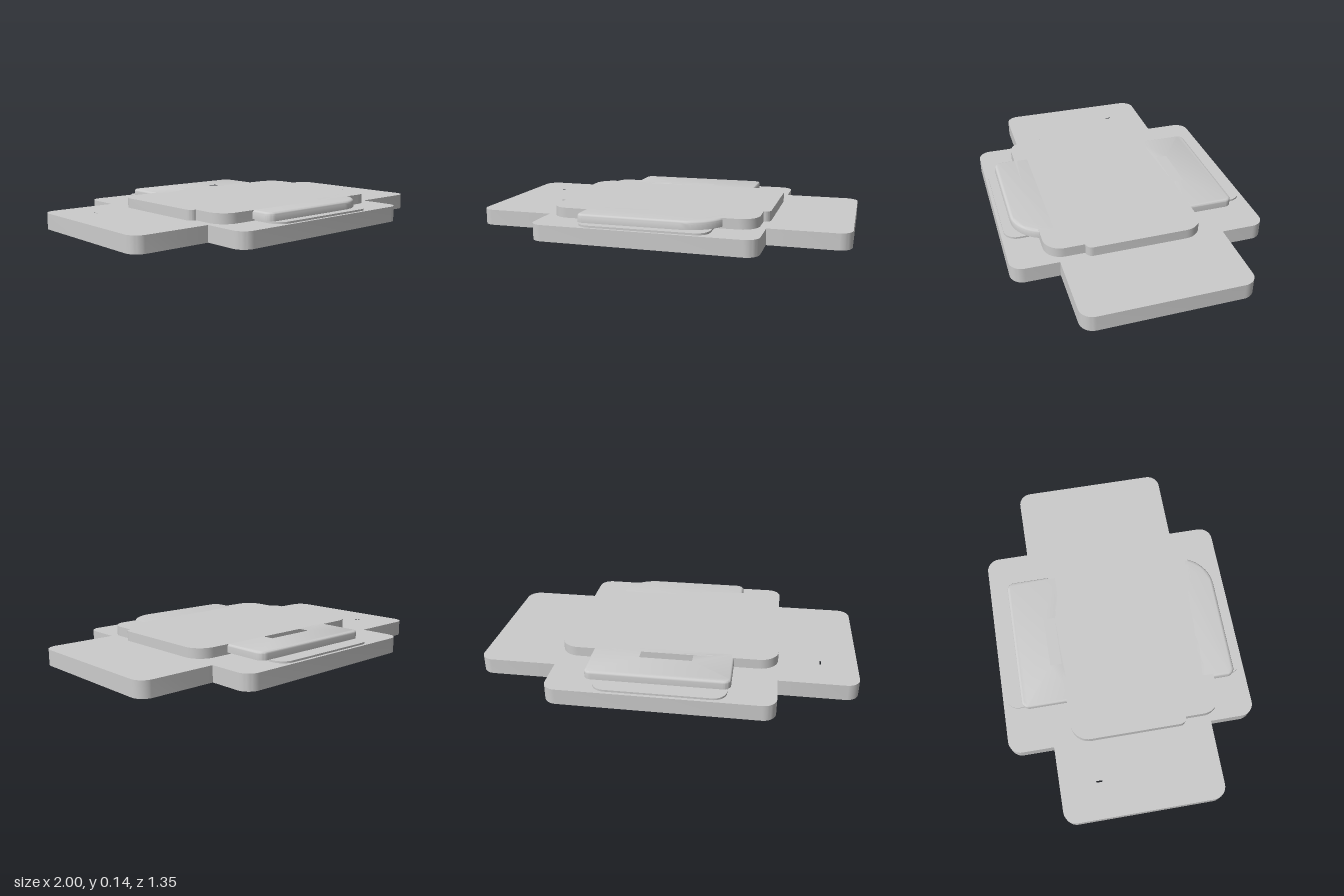
import * as THREE from 'three';
import { toCreasedNormals } from 'three/addons/utils/BufferGeometryUtils.js';

const material = new THREE.MeshStandardMaterial({ color: 0xcccccc });

// Closed outline from [x, z, cornerRadius] points; corners become circular arcs
function outline(points, Type = THREE.Shape) {
  const path = new Type();
  const n = points.length;
  const k = 0.5523;
  points.forEach(([x, z, r = 0], i) => {
    const corner = new THREE.Vector2(x, -z);
    const toward = ([px, pz]) => new THREE.Vector2(px, -pz).sub(corner).normalize();
    const before = toward(points[(i + n - 1) % n]);
    const after = toward(points[(i + 1) % n]);
    const at = (dir, d) => corner.clone().addScaledVector(dir, d);
    const start = at(before, r);
    if (i === 0) path.moveTo(start.x, start.y);
    else path.lineTo(start.x, start.y);
    if (r > 0) {
      const c1 = at(before, r * (1 - k)), c2 = at(after, r * (1 - k)), end = at(after, r);
      path.bezierCurveTo(c1.x, c1.y, c2.x, c2.y, end.x, end.y);
    }
  });
  path.closePath();
  return path;
}

// Horizontal plate between two heights, optionally with a rounded top edge
function plate(name, shape, bottom, top, round = 0) {
  const geometry = new THREE.ExtrudeGeometry(shape, {
    depth: top - bottom - round,
    curveSegments: 12,
    bevelEnabled: round > 0,
    bevelThickness: round,
    bevelSize: round,
    bevelOffset: -round,
    bevelSegments: 4,
  });
  // Keep the underside flat: only the top edge stays rounded
  const pos = geometry.attributes.position;
  for (let i = 0; i < pos.count; i++) pos.setZ(i, Math.max(0, pos.getZ(i)));
  geometry.rotateX(-Math.PI / 2);
  geometry.translate(0, bottom, 0);
  const mesh = new THREE.Mesh(toCreasedNormals(geometry, 0.6), material);
  mesh.name = name;
  return mesh;
}

const rect = (x0, x1, z0, z1, r) => [[x0, z0, r], [x1, z0, r], [x1, z1, r], [x0, z1, r]];

// Complete a right-hand half outline by mirroring it across x = 0
const mirrored = (half) => [...half, ...half.map(([x, z, r]) => [-x, z, r]).reverse()];

export function createModel() {
  const model = new THREE.Group();
  model.name = 'steppedPlate';
  const baseTop = 0.085, padTop = 0.095, top = 0.138;

  // Cross-shaped base with a tiny slit through one wing
  const base = outline(mirrored([
    [0.585, -0.677, 0.07], [0.585, -0.435], [1, -0.435, 0.07],
    [1, 0.432, 0.07], [0.585, 0.432], [0.585, 0.677, 0.07],
  ]));
  base.holes.push(outline(rect(-0.81, -0.802, -0.24, -0.205, 0.0039), THREE.Path));
  model.add(plate('base', base, 0, baseTop));

  // Thin pad below the tabs
  model.add(plate('pad', outline(rect(-0.34, 0.34, -0.66, 0.66, 0.07)), baseTop, padTop));

  // Main raised plate, stepped in towards the front
  const body = outline(mirrored([
    [0.585, -0.33, 0.1], [0.585, 0.295, 0.035], [0.55, 0.295], [0.55, 0.492, 0.095],
  ]));
  model.add(plate('raisedPlate', body, baseTop, top));

  // Back tab with the slot
  const backTab = outline([
    [-0.355, -0.573, 0.04], [0.395, -0.573, 0.04], [0.395, -0.28], [-0.355, -0.28],
  ]);
  backTab.holes.push(outline([
    [-0.153, -0.402, 0.012], [0.15, -0.402, 0.012], [0.15, -0.315], [-0.153, -0.315],
  ], THREE.Path));
  model.add(plate('backTab', backTab, padTop, top, 0.012));

  // Front tab with one broad corner
  const frontTab = outline([
    [-0.355, 0.4], [0.395, 0.4], [0.395, 0.613, 0.2], [-0.355, 0.613, 0.04],
  ]);
  model.add(plate('frontTab', frontTab, padTop, top, 0.016));

  return model;
}
